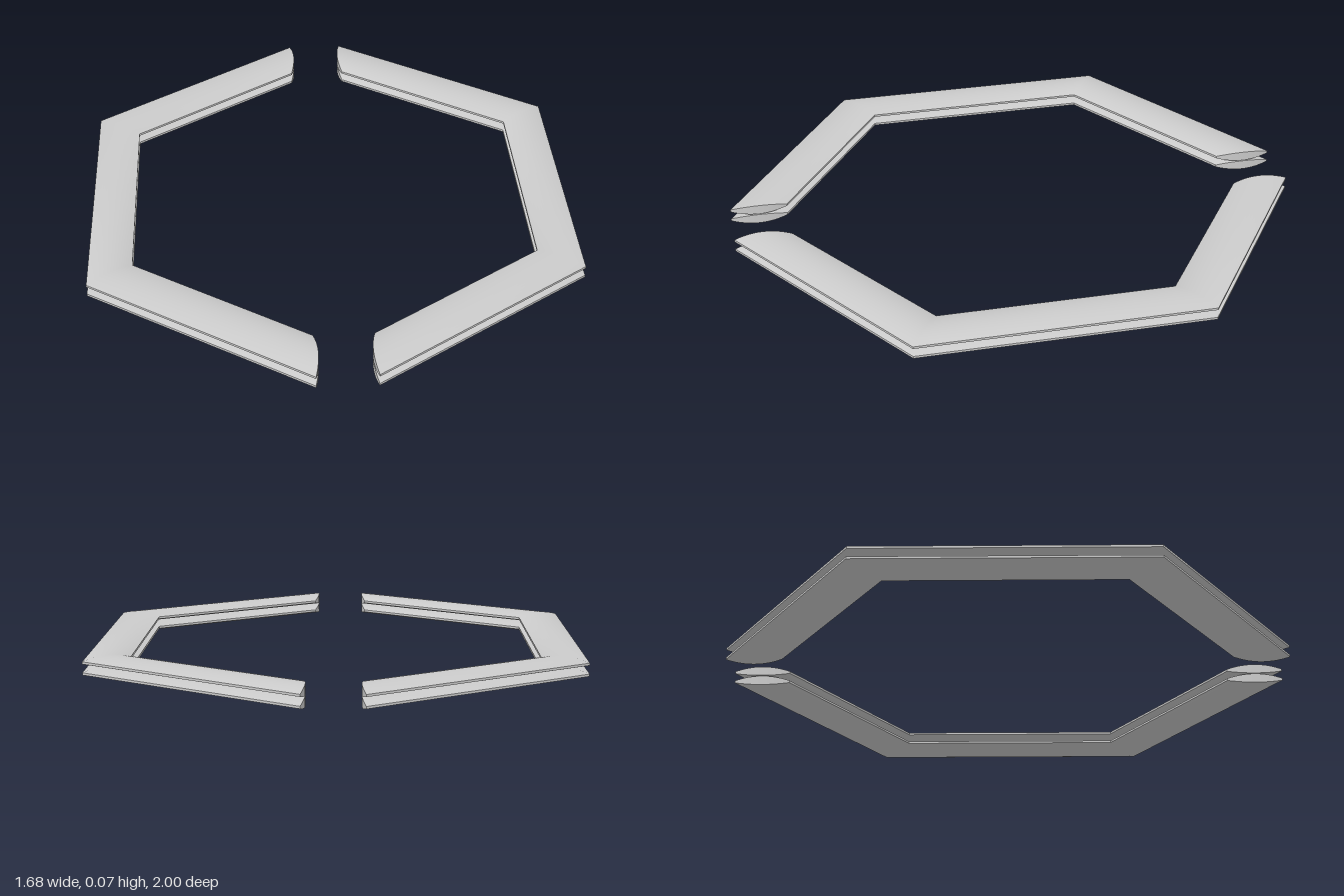
import * as THREE from 'three';
import { toCreasedNormals } from 'three/addons/utils/BufferGeometryUtils.js';

const N = 16;           // strips across the bar
const EDGE = 0.004;     // half thickness at the rims
const CROWN = 0.013;    // extra half thickness at the middle
const BULGE = 0.013;    // how far the end caps bow outward

// Plan corners of the bent bar as [x, z], from the front end to the back end
const OUTER = [[0.1, 1], [0.84, 0.5], [0.84, -0.5], [0.1, -1]];
const INNER = [[0.1, 0.8], [0.69, 0.4], [0.69, -0.4], [0.1, -0.8]];

// Lens-shaped cross-section swept along three mitred lengths
function barGeometry() {
  const pos = [], idx = [];
  const ring = 2 * (N + 1), last = OUTER.length - 1;
  OUTER.forEach((o, i) => {
    const n = INNER[i];
    const bow = i === 0 || i === last ? BULGE : 0;
    for (let j = 0; j < ring; j++) {
      const top = j <= N;
      const t = (top ? j : ring - 1 - j) / N;
      const dome = 1 - (2 * t - 1) ** 2;
      const h = EDGE + CROWN * dome;
      pos.push(n[0] + (o[0] - n[0]) * t - bow * dome, top ? h : -h, n[1] + (o[1] - n[1]) * t);
    }
  });
  // Skin
  for (let i = 0; i < last; i++) {
    for (let j = 0; j < ring; j++) {
      const k = (j + 1) % ring;
      const a = i * ring + j, b = i * ring + k;
      idx.push(a, b, a + ring, b, b + ring, a + ring);
    }
  }
  // End caps
  for (let k = 0; k < N; k++) {
    const t0 = k, t1 = k + 1, b0 = ring - 1 - k, b1 = b0 - 1, e = last * ring;
    idx.push(t0, b0, t1, t1, b0, b1);
    idx.push(e + t0, e + t1, e + b0, e + t1, e + b1, e + b0);
  }
  const g = new THREE.BufferGeometry();
  g.setAttribute('position', new THREE.Float32BufferAttribute(pos, 3));
  g.setIndex(idx);
  return toCreasedNormals(g, 0.6);
}

export function createModel() {
  const model = new THREE.Group();
  model.name = 'splitHexagonFrame';
  const material = new THREE.MeshStandardMaterial({ color: 0xcccccc });
  const geometry = barGeometry();
  const half = EDGE + CROWN;

  // Two facing brackets, each of two stacked bars
  for (const side of ['left', 'right']) {
    const bracket = new THREE.Group();
    bracket.name = side + 'Bracket';
    if (side === 'right') bracket.rotation.y = Math.PI;
    for (const [name, y] of [['lowerBar', half], ['upperBar', 0.071 - half]]) {
      const bar = new THREE.Mesh(geometry, material);
      bar.name = name;
      bar.position.y = y;
      bracket.add(bar);
    }
    model.add(bracket);
  }
  return model;
}
